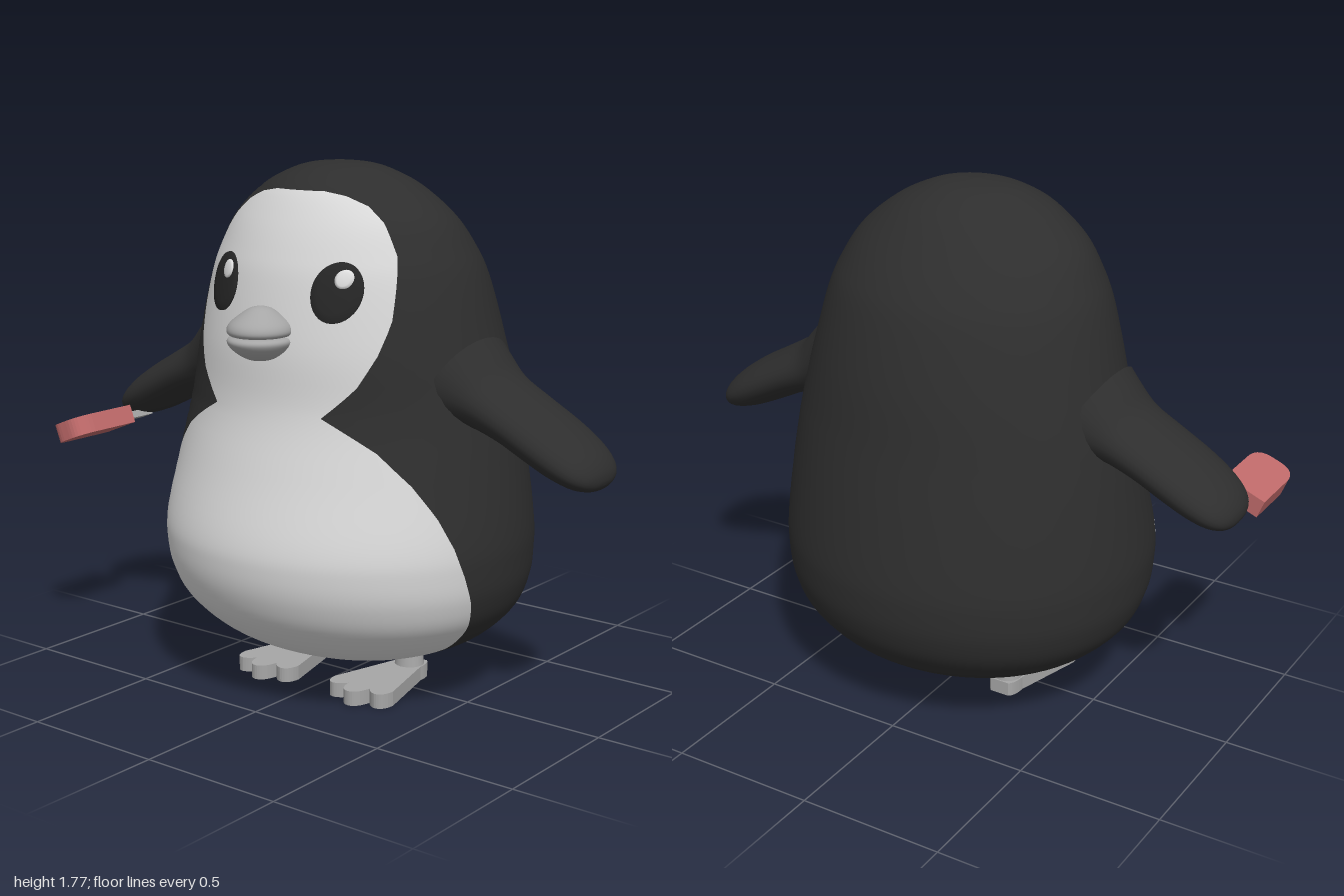
import * as THREE from 'three';

const mat = (name, color) => Object.assign(new THREE.MeshStandardMaterial({ color }), { name });

// Body rings, top to bottom: height, half width, front z, back z
const RINGS = [
  [1.775, 0, 0.04, 0.04], [1.765, 0.11, 0.125, -0.05], [1.74, 0.19, 0.195, -0.12],
  [1.69, 0.285, 0.265, -0.2], [1.6, 0.39, 0.325, -0.285], [1.5, 0.45, 0.372, -0.36],
  [1.4, 0.49, 0.405, -0.41], [1.2, 0.54, 0.443, -0.47], [1.0, 0.585, 0.458, -0.508],
  [0.8, 0.62, 0.514, -0.547], [0.6, 0.648, 0.578, -0.58], [0.5, 0.65, 0.587, -0.585],
  [0.4, 0.637, 0.566, -0.573], [0.3, 0.59, 0.51, -0.53], [0.2, 0.475, 0.395, -0.43],
  [0.13, 0.31, 0.24, -0.27], [0.1, 0.17, 0.12, -0.14], [0.09, 0, 0, 0],
];
const FACE_TOP = 3, BELLY_END = 16, STEPS = 6;

// Half angle of the pale front at each height
const FRONT_ANGLE = [
  [1.69, 0.35], [1.68, 0.58], [1.65, 0.8], [1.6, 0.89], [1.5, 0.94], [1.4, 0.893], [1.3, 0.845],
  [1.2, 0.74], [1.1, 0.597], [1.05, 0.49], [1.0, 0.38], [0.95, 0.553], [0.9, 0.707], [0.8, 0.907],
  [0.7, 1.057], [0.6, 1.163], [0.5, 1.235], [0.4, 1.29], [0.3, 1.32], [0.2, 1.33], [0.1, 1.1],
];

const curve = (pts) => new THREE.CatmullRomCurve3(pts, false, 'catmullrom', 0.5);
const frontCurve = curve(RINGS.map(([y, r, f]) => new THREE.Vector3(r, y, f)));
const backCurve = curve(RINGS.map(([y, r, , b]) => new THREE.Vector3(r, y, b)));

function ringAt(t) {
  const f = frontCurve.getPoint(t), b = backCurve.getPoint(t);
  return { y: f.y, rx: Math.max(f.x, 0), zc: (f.z + b.z) / 2, rz: (f.z - b.z) / 2 };
}

function frontAngle(y) {
  const k = FRONT_ANGLE;
  if (y >= k[0][0]) return k[0][1];
  for (let i = 1; i < k.length; i++) {
    if (y >= k[i][0]) {
      return THREE.MathUtils.mapLinear(y, k[i - 1][0], k[i][0], k[i - 1][1], k[i][1]);
    }
  }
  return k[k.length - 1][1];
}

// Depth of the body's front surface at x, y
function surfaceZ(x, y) {
  let lo = 0, hi = 1;
  for (let i = 0; i < 30; i++) {
    const mid = (lo + hi) / 2;
    if (ringAt(mid).y > y) lo = mid; else hi = mid;
  }
  const r = ringAt(lo);
  return r.zc + r.rz * Math.sqrt(Math.max(0, 1 - (x / r.rx) ** 2));
}

// Skin over closed rows of points; inSecond picks the quads of the second material
function skin(rows, inSecond = () => false) {
  const n = rows[0].length, lists = [[], []];
  for (let i = 0; i < rows.length - 1; i++) {
    for (let j = 0; j < n; j++) {
      const a = i * n + j, b = i * n + (j + 1) % n;
      lists[inSecond(i, j) ? 1 : 0].push(a, a + n, b, b, a + n, b + n);
    }
  }
  const g = new THREE.BufferGeometry();
  g.setAttribute('position', new THREE.Float32BufferAttribute(rows.flat(2), 3));
  g.setIndex([...lists[0], ...lists[1]]);
  g.addGroup(0, lists[0].length, 0);
  if (lists[1].length) g.addGroup(lists[0].length, lists[1].length, 1);
  g.computeVertexNormals();
  return g;
}

function bodyGeometry() {
  const rows = [], count = (RINGS.length - 1) * STEPS, W = 26, B = 44;
  for (let i = 0; i <= count; i++) {
    const { y, rx, zc, rz } = ringAt(i / count), a = frontAngle(y), row = [];
    for (let j = 0; j < W + B; j++) {
      const t = j < W ? -a + 2 * a * j / W : a + (2 * Math.PI - 2 * a) * (j - W) / B;
      row.push([rx * Math.sin(t), y, zc + rz * Math.cos(t)]);
    }
    rows.push(row);
  }
  return skin(rows, (i, j) => j < W && i >= FACE_TOP * STEPS && i < BELLY_END * STEPS);
}

// Flipper: oval sections (x, y, half thickness, half width) towards the tip
function armGeometry() {
  const keys = [[0.47, 1.085, 0.17, 0.21], [0.53, 1.065, 0.135, 0.185], [0.6, 1.035, 0.1, 0.168],
    [0.7, 0.99, 0.086, 0.165], [0.8, 0.938, 0.082, 0.163], [0.88, 0.893, 0.075, 0.155],
    [0.94, 0.858, 0.061, 0.135], [0.975, 0.836, 0.041, 0.1], [0.99, 0.824, 0.02, 0.052], [0.994, 0.822, 0, 0]];
  const path = curve(keys.map(([x, y]) => new THREE.Vector3(x, y, 0)));
  const size = curve(keys.map(([, , h, w]) => new THREE.Vector3(h, w, 0)));
  const rows = [], N = 36;
  for (let i = 0; i <= N; i++) {
    const c = path.getPoint(i / N), s = size.getPoint(i / N), row = [];
    for (let j = 0; j < 28; j++) {
      const t = j / 28 * Math.PI * 2, h = s.x * Math.sin(t);
      row.push([c.x + 0.47 * h, c.y + 0.88 * h, s.y * Math.cos(t)]);
    }
    rows.push(row);
  }
  return skin(rows);
}

// Thin oval draped over the face
function ovalGeometry(cx, cy, rx, ry, lift) {
  const rings = [[0, lift + 0.003], [0.35, lift + 0.003], [0.7, lift + 0.002], [1, lift], [1.01, lift - 0.009]];
  const rows = rings.map(([r, off]) => Array.from({ length: 36 }, (_, j) => {
    const t = -j / 36 * Math.PI * 2;
    const x = cx + rx * r * Math.sin(t), y = cy + ry * r * Math.cos(t);
    return [x, y, surfaceZ(x, y) + off];
  }));
  return skin(rows);
}

// Flat slab from an outline in x, z, with its top at y = height
function slab(shape, height) {
  const g = new THREE.ExtrudeGeometry(shape, { depth: height, bevelEnabled: false, curveSegments: 8 });
  return g.rotateX(Math.PI / 2).translate(0, height, 0);
}

export function createModel() {
  const black = mat('black feathers', 0x2e2e2e), white = mat('white feathers', 0xd8d8d8);
  const grey = mat('beak and feet grey', 0xa6a6a6), dark = mat('eye black', 0x262626);
  const shine = mat('eye shine', 0xdedede), red = mat('ice red', 0xbf6a6a);
  const model = new THREE.Group();
  const add = (name, geometry, material, parent = model) => {
    const m = new THREE.Mesh(geometry, material);
    m.name = name;
    parent.add(m);
    return m;
  };

  add('body', bodyGeometry(), [black, white]);

  // Flippers
  const arm = armGeometry();
  add('leftArm', arm, black);
  add('rightArm', arm, black).rotation.y = Math.PI;

  // Eyes, both shining on the same side
  for (const [side, s] of [['left', 1], ['right', -1]]) {
    add(side + 'Eye', ovalGeometry(s * 0.23, 1.39, 0.075, 0.093, 0.008), dark);
    add(side + 'EyeShine', ovalGeometry(s * 0.23 + 0.022, 1.433, 0.026, 0.029, 0.014), shine);
  }

  // Beak: two rounded halves meeting in a groove
  const beak = (name, pts) => {
    const profile = new THREE.SplineCurve(pts.map(([x, y]) => new THREE.Vector2(x, y))).getPoints(24);
    profile.forEach((p) => { p.x = Math.max(p.x, 0); });
    const m = add(name, new THREE.LatheGeometry(profile, 36), grey);
    m.position.z = 0.455;
    m.scale.z = 1.06;
  };
  beak('upperBeak', [[0.07, 1.245], [0.095, 1.249], [0.105, 1.264], [0.095, 1.288], [0.06, 1.317], [0.03, 1.335], [0, 1.341]]);
  beak('lowerBeak', [[0, 1.165], [0.04, 1.172], [0.08, 1.196], [0.103, 1.224], [0.098, 1.241], [0.07, 1.248]]);

  // Webbed feet with three toes, on short legs
  const foot = new THREE.Shape();
  foot.moveTo(-0.035, -0.135);
  foot.lineTo(0.035, -0.135);
  foot.quadraticCurveTo(0.055, -0.12, 0.055, -0.07);
  foot.lineTo(0.122, 0.18);
  foot.quadraticCurveTo(0.12, 0.235, 0.085, 0.235);
  foot.quadraticCurveTo(0.06, 0.23, 0.045, 0.205);
  foot.quadraticCurveTo(0.035, 0.268, 0, 0.268);
  foot.quadraticCurveTo(-0.035, 0.268, -0.045, 0.205);
  foot.quadraticCurveTo(-0.06, 0.23, -0.085, 0.235);
  foot.quadraticCurveTo(-0.12, 0.235, -0.122, 0.18);
  foot.lineTo(-0.055, -0.07);
  foot.quadraticCurveTo(-0.055, -0.12, -0.035, -0.135);
  const footGeo = slab(foot, 0.05);
  const legGeo = new THREE.CylinderGeometry(0.04, 0.052, 0.1, 20).translate(0, 0.09, -0.08);
  for (const [side, s] of [['left', 1], ['right', -1]]) {
    add(side + 'Foot', footGeo, grey).position.x = s * 0.202;
    add(side + 'Leg', legGeo, grey).position.x = s * 0.202;
  }

  // Ice lolly held in the right flipper
  const lolly = new THREE.Group();
  lolly.name = 'iceLolly';
  lolly.position.set(-0.916, 0.81, 0);
  lolly.rotation.z = 0.38;
  model.add(lolly);
  const ice = new THREE.Shape();
  ice.moveTo(-0.077, 0.185);
  ice.lineTo(0.077, 0.185);
  ice.lineTo(0.077, 0.38);
  ice.quadraticCurveTo(0.072, 0.45, 0.015, 0.45);
  ice.lineTo(-0.015, 0.45);
  ice.quadraticCurveTo(-0.072, 0.45, -0.077, 0.38);
  add('ice', slab(ice, 0.065).translate(0, -0.0325, 0), red, lolly);
  add('stick', new THREE.BoxGeometry(0.055, 0.025, 0.16).translate(0, 0, 0.12), grey, lolly);

  return model;
}
